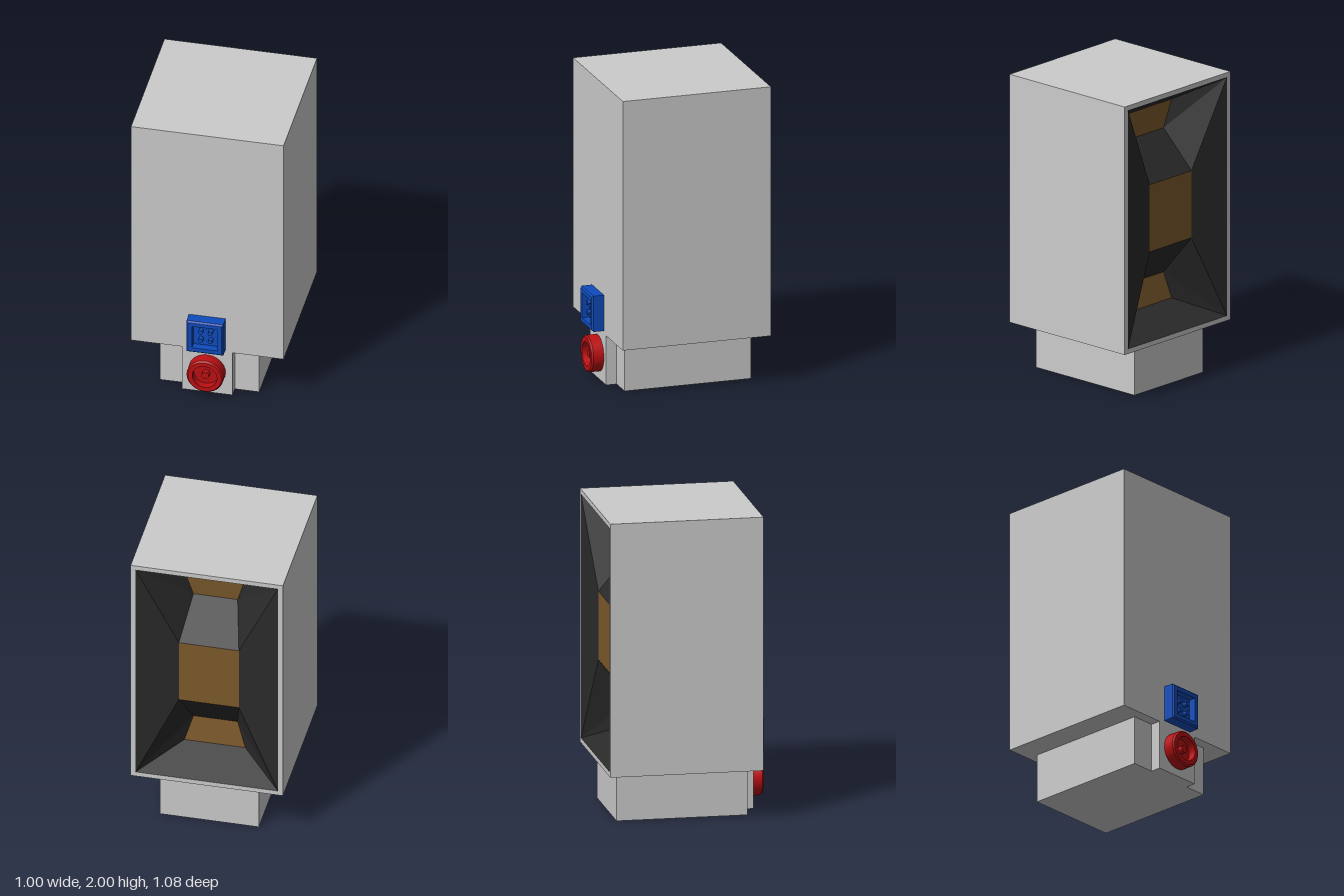
import * as THREE from 'three';
import { toCreasedNormals } from 'three/addons/utils/BufferGeometryUtils.js';

const material = (color, extra = {}) => new THREE.MeshStandardMaterial({ color, ...extra });
const grey = material(0xcccccc);
const blue = material(0x0f4cbd);
const red = material(0xbd1013);
const dark = material(0x2a2a2a, { side: THREE.DoubleSide });
const amber = material(0x7d5a2c, { side: THREE.DoubleSide });

const BACK = -0.54, FRONT = 0.46, BOTTOM = 0.33, TOP = 2;
const MID = (BOTTOM + TOP) / 2, HEIGHT = TOP - BOTTOM, RIM = 0.033;

function add(parent, name, geometry, mat, x = 0, y = 0, z = 0) {
  const mesh = new THREE.Mesh(geometry, mat);
  mesh.name = name;
  mesh.position.set(x, y, z);
  parent.add(mesh);
  return mesh;
}

// Box given by its half width and its y and z ranges
function addBox(parent, name, halfX, y0, y1, z0, z1) {
  return add(parent, name, new THREE.BoxGeometry(2 * halfX, y1 - y0, z1 - z0), grey, 0, (y0 + y1) / 2, (z0 + z1) / 2);
}

const rectangle = (Type, hw, hh) => new Type([
  new THREE.Vector2(-hw, -hh), new THREE.Vector2(hw, -hh), new THREE.Vector2(hw, hh), new THREE.Vector2(-hw, hh),
]);

// Flat-faced mesh from a list of corner triples
function facets(triangles) {
  const geometry = new THREE.BufferGeometry();
  geometry.setAttribute('position', new THREE.Float32BufferAttribute(triangles.flat(2), 3));
  geometry.computeVertexNormals();
  return geometry;
}

// Recessed cup facing +z: 4 sides give a square socket, many sides a round one
function cup(sides, outer, inner) {
  const k = sides === 4 ? Math.SQRT2 : 1;
  const profile = [[outer, 0], [outer, 0.07], [outer - 0.01, 0.08], [inner, 0.08], [inner, 0.03], [0, 0.03]]
    .map(([r, h]) => new THREE.Vector2(r * k, h));
  const geometry = new THREE.LatheGeometry(profile, sides, Math.PI / 4);
  geometry.rotateX(Math.PI / 2);
  return toCreasedNormals(geometry, 0.5);
}

function pin(radius) {
  return new THREE.CylinderGeometry(radius, radius, 0.04, 20).rotateX(Math.PI / 2);
}

// Folded lining behind the rim, with three amber panels
function createLining() {
  const lining = new THREE.Group();
  lining.name = 'lining';
  // Upper rows: height above the middle, half width, depth
  const upper = [[0.802, 0.467, 0], [0.669, 0.2, 0.235], [0.485, 0.145, 0.255], [0.226, 0.197, 0.06]];
  const rows = [...upper, ...upper.map(([y, w, d]) => [-y, w, d]).reverse()];
  const corner = (i, side) => [side * rows[i][1], MID + rows[i][0], BACK + rows[i][2]];

  const darkFaces = [];
  const amberFaces = [];
  for (let i = 0; i < rows.length - 1; i++) {
    const a = corner(i, 1), b = corner(i + 1, 1), c = corner(i + 1, -1), d = corner(i, -1);
    (i % 2 ? amberFaces : darkFaces).push([a, b, c], [a, c, d]);
  }
  // Side walls, mirrored
  for (const t of [[0, 2, 1], [0, 3, 2], [0, 7, 4], [0, 4, 3], [7, 5, 4], [7, 6, 5]]) {
    darkFaces.push(t.map((i) => corner(i, 1)));
    darkFaces.push(t.map((i) => corner(i, -1)).reverse());
  }
  add(lining, 'liningWalls', facets(darkFaces), dark);
  add(lining, 'amberPanels', facets(amberFaces), amber);
  return lining;
}

export function createModel() {
  const model = new THREE.Group();
  model.name = 'sensorModule';

  // Housing, open at the back: the last side of the box is dropped
  const housing = new THREE.BoxGeometry(1, HEIGHT, FRONT - BACK);
  housing.setIndex([...housing.index.array].slice(0, 30));
  housing.clearGroups();
  add(model, 'housing', housing, grey, 0, MID, (FRONT + BACK) / 2);

  // Rim around the opening
  const rim = rectangle(THREE.Shape, 0.5, HEIGHT / 2);
  rim.holes.push(rectangle(THREE.Path, 0.5 - RIM, HEIGHT / 2 - RIM));
  add(model, 'rim', new THREE.ShapeGeometry(rim).rotateY(Math.PI), grey, 0, MID, BACK);
  model.add(createLining());

  // Foot with its raised front block
  addBox(model, 'foot', 0.325, 0, BOTTOM, -0.465, 0.39);
  addBox(model, 'footFrontBlock', 0.165, 0, BOTTOM, 0.39, FRONT);

  // Square socket with four pins
  const square = new THREE.Group();
  square.name = 'squareSocket';
  square.position.set(0, 0.47, FRONT);
  add(square, 'squareShell', cup(4, 0.12, 0.083), blue);
  for (const x of [-1, 1]) for (const y of [-1, 1]) {
    add(square, 'squarePin', pin(0.015), blue, x * 0.032, y * 0.032, 0.045);
  }
  model.add(square);

  // Round socket with one pin
  const round = new THREE.Group();
  round.name = 'roundSocket';
  round.position.set(0, 0.17, FRONT);
  add(round, 'roundShell', cup(48, 0.12, 0.081), red);
  add(round, 'roundPin', pin(0.025), red, 0, 0, 0.045);
  model.add(round);

  return model;
}
